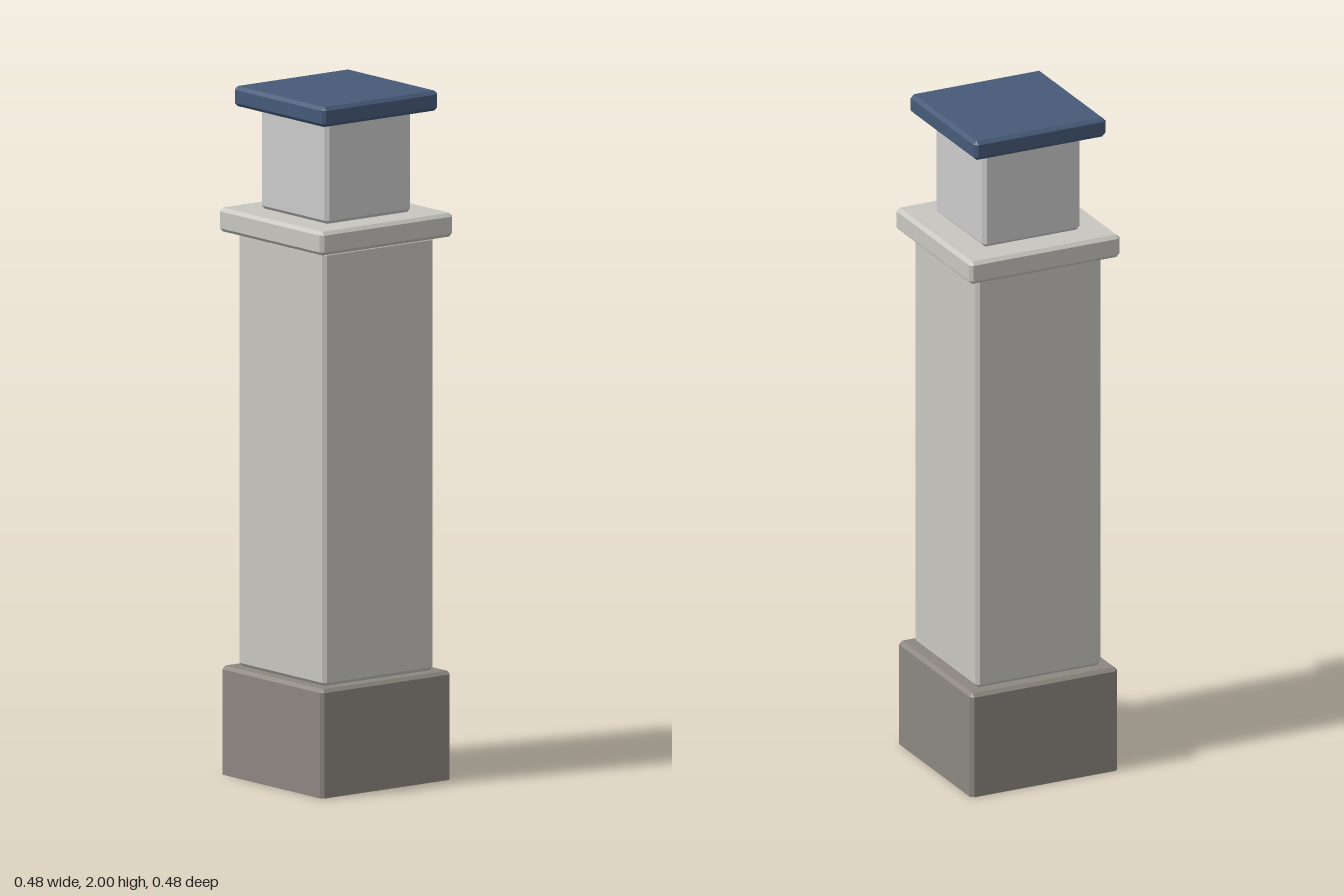
import * as THREE from 'three';

// Square block with chamfered edges, lofted through octagonal rings.
// With open = true the foot is left unchamfered and uncapped.
function chamferedBlock(half, y0, y1, c, open = false) {
  const ring = (y, h, cut) => {
    const a = h - cut;
    return [[h, a], [a, h], [-a, h], [-h, a], [-h, -a], [-a, -h], [a, -h], [h, -a]]
      .map(([x, z]) => [x, y, z]);
  };
  const inset = half - c;
  const rings = [
    ...(open ? [ring(y0, half, c)] : [ring(y0, inset, 0), ring(y0 + c, half, c)]),
    ring(y1 - c, half, c),
    ring(y1, inset, 0),
  ];
  const pos = [];
  const tri = (...pts) => pts.forEach((p) => pos.push(...p));
  for (let r = 0; r < rings.length - 1; r++) {
    for (let i = 0; i < 8; i++) {
      const j = (i + 1) % 8;
      const [a, b, d, e] = [rings[r][i], rings[r][j], rings[r + 1][i], rings[r + 1][j]];
      // Corner chamfers collapse to triangles at the inset rings
      if (a.join() !== b.join()) tri(a, e, b);
      if (d.join() !== e.join()) tri(a, d, e);
    }
  }
  const top = rings[rings.length - 1];
  const foot = rings[0];
  // The octagon collapses to a square with corners 0, 2, 4, 6
  tri(top[0], top[4], top[2]);
  tri(top[0], top[6], top[4]);
  if (!open) {
    tri(foot[0], foot[2], foot[4]);
    tri(foot[0], foot[4], foot[6]);
  }
  const geo = new THREE.BufferGeometry();
  geo.setAttribute('position', new THREE.Float32BufferAttribute(pos, 3));
  geo.computeVertexNormals();
  return geo;
}

export function createModel() {
  const group = new THREE.Group();
  const stone = new THREE.MeshStandardMaterial({ color: 0xc8c6c0 });
  const darkStone = new THREE.MeshStandardMaterial({ color: 0x8c8780, side: THREE.DoubleSide });
  const grey = new THREE.MeshStandardMaterial({ color: 0xcccccc });
  const blue = new THREE.MeshStandardMaterial({ color: 0x465a78 });

  const add = (name, material, ...dims) => {
    const mesh = new THREE.Mesh(chamferedBlock(...dims), material);
    mesh.name = name;
    group.add(mesh);
  };

  // Hollow plinth, open underneath
  add('plinth', darkStone, 0.235, 0, 0.316, 0.01, true);
  // Tall square shaft
  add('shaft', stone, 0.2, 0.316, 1.577, 0.01);
  // Projecting collar
  add('collar', stone, 0.24, 1.577, 1.646, 0.01);
  // Narrow neck
  add('neck', grey, 0.155, 1.646, 1.942, 0.01);
  // Blue cap slab
  add('cap', blue, 0.21, 1.942, 2, 0.01);

  return group;
}
